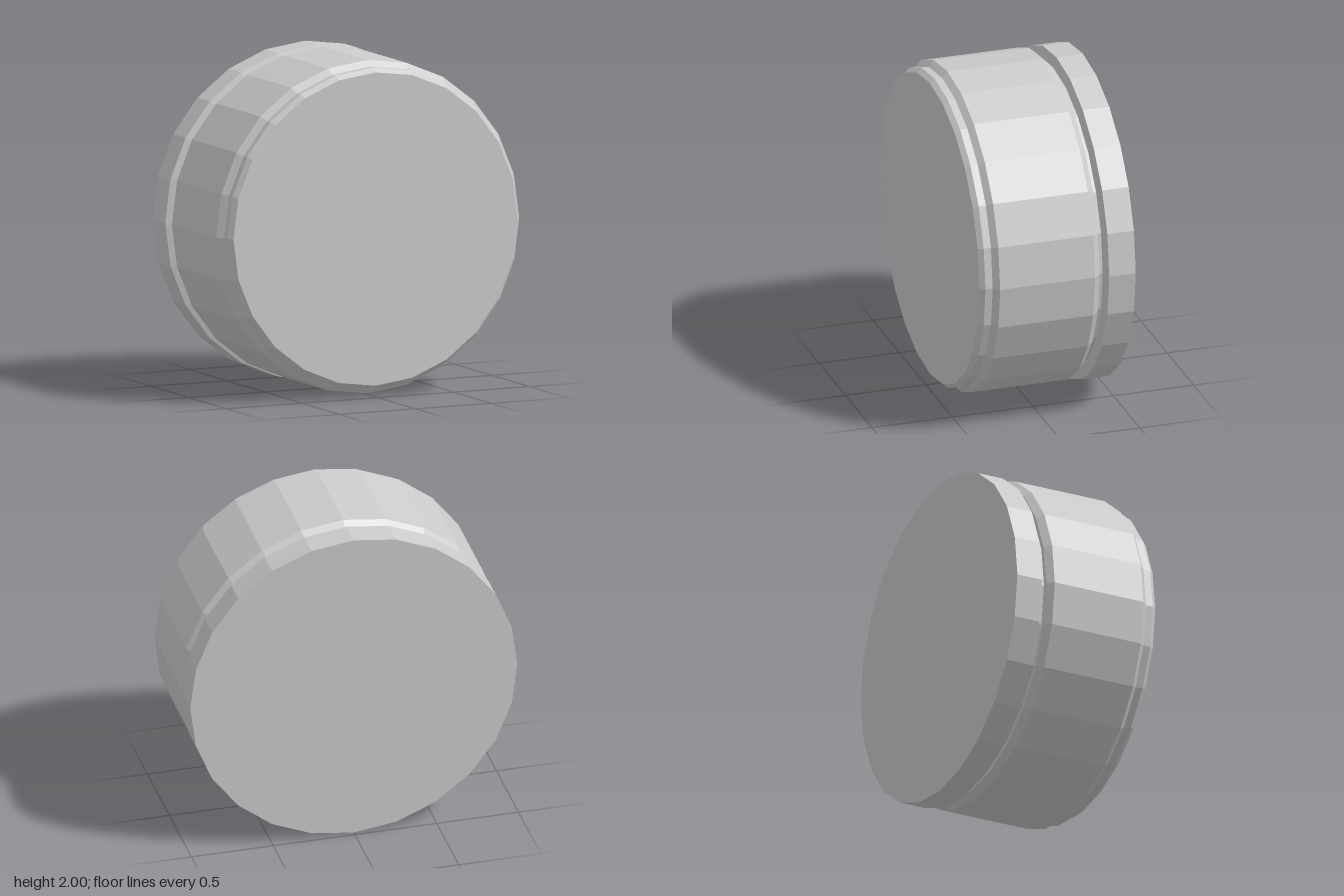
import * as THREE from 'three';

const SIDES = 24;
const material = new THREE.MeshStandardMaterial({ color: 0xcccccc, flatShading: true });

// Faceted solid turned about the z axis; profile is [radius, z] from back to front
function turned(name, profile, x = 0, y = 1) {
  const points = profile.map(([r, z]) => new THREE.Vector2(r, z));
  const geometry = new THREE.LatheGeometry(points, SIDES).rotateX(Math.PI / 2);
  const mesh = new THREE.Mesh(geometry, material);
  mesh.name = name;
  mesh.position.set(x, y, 0);
  return mesh;
}

export function createModel() {
  const group = new THREE.Group();
  group.name = 'roundCanister';

  // Main drum with a chamfered back edge and a stepped front lip
  group.add(turned('drum', [
    [0, -0.265], [0.96, -0.265], [0.995, -0.225], [0.995, 0.365],
    [0.96, 0.4], [0.96, 0.445], [0.935, 0.475], [0, 0.475],
  ], -0.003, 1.003));

  // Recessed groove between drum and back cap
  group.add(turned('grooveNeck', [
    [0, -0.3], [0.936, -0.3], [0.936, -0.26], [0, -0.26],
  ]));

  // Back cap with a small bevel facing the groove
  group.add(turned('backCap', [
    [0, -0.475], [1, -0.475], [1, -0.31], [0.936, -0.291], [0, -0.291],
  ]));

  return group;
}
